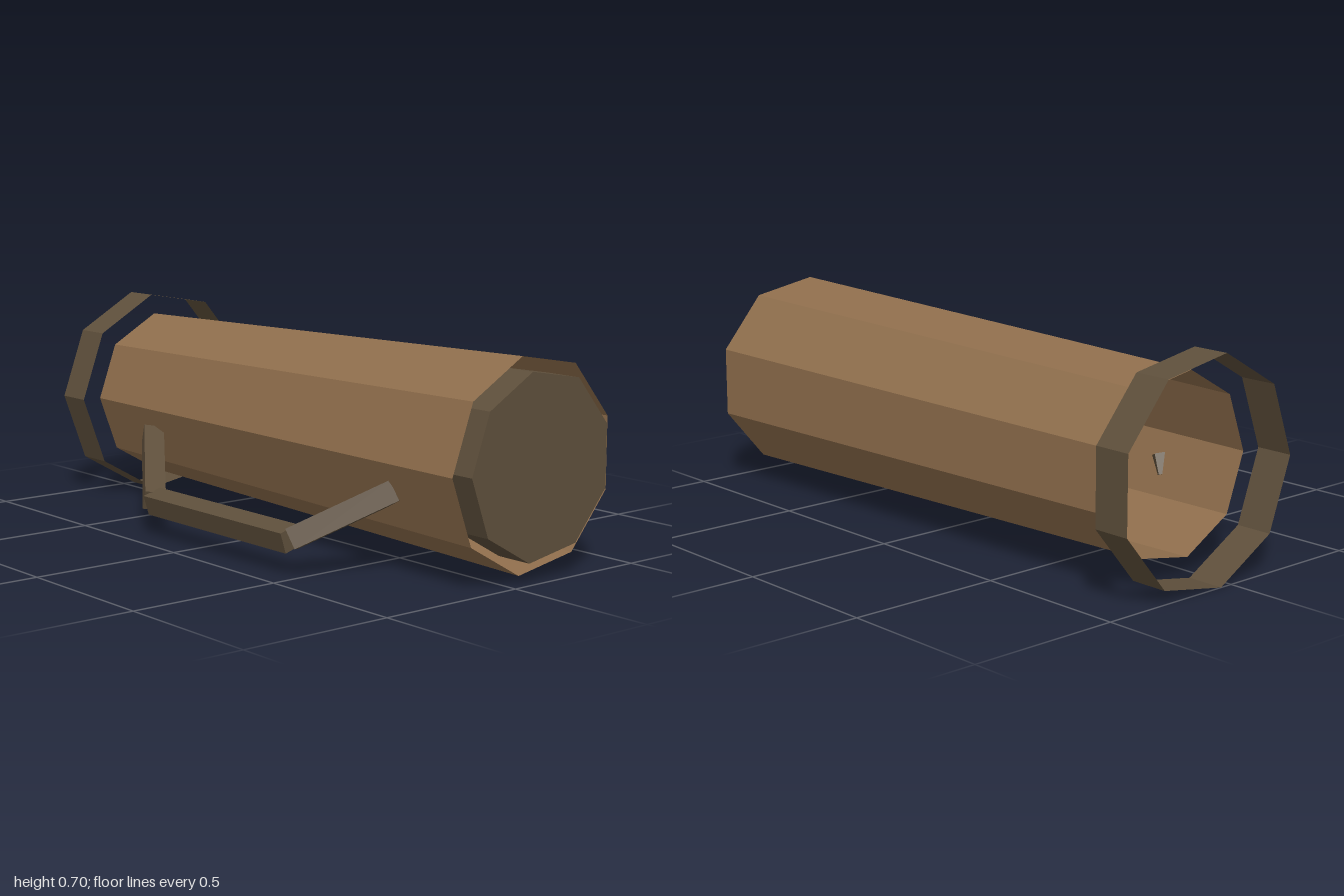
import * as THREE from 'three';

const CX = 0.105, CY = 0.35, SIDES = 9;

export function createModel() {
  const group = new THREE.Group();
  const wood = new THREE.MeshStandardMaterial({ color: 0x8f6e4c, flatShading: true, side: THREE.DoubleSide });
  wood.name = 'wood brown';
  const dark = new THREE.MeshStandardMaterial({ color: 0x5e4f3b, flatShading: true, side: THREE.DoubleSide });
  dark.name = 'dark brown';

  const add = (name, geometry, material) => {
    const mesh = new THREE.Mesh(geometry, material);
    mesh.name = name;
    group.add(mesh);
  };

  // Nine-sided drum lying along z, with one corner pointing to -x
  const drum = (rFront, rBack, zFront, zBack, open) =>
    new THREE.CylinderGeometry(rFront, rBack, zFront - zBack, SIDES, 1, open, -Math.PI / 2)
      .rotateX(Math.PI / 2)
      .translate(CX, CY, (zFront + zBack) / 2);

  // Tapered open mug wall, closed base plug and loose rim band
  add('mugBody', drum(0.33, 0.287, 0.965, -0.875, true), wood);
  add('mugBase', drum(0.287, 0.287, 1, 0.875, false), dark);
  add('rimBand', drum(0.355, 0.355, -0.875, -1, true), dark);

  // Handle: three square bars in one slanted plane, each twisted about its axis
  const normal = new THREE.Vector3(-0.545, 0.84, 0).normalize();
  const bar = (name, from, to, twist, size = 0.067) => {
    const a = new THREE.Vector3(...from), b = new THREE.Vector3(...to);
    const dir = b.clone().sub(a).normalize();
    const inward = normal.clone().cross(dir).normalize();
    const geometry = new THREE.BoxGeometry(size, size, a.distanceTo(b)).rotateZ(-twist);
    geometry.applyMatrix4(new THREE.Matrix4().makeBasis(inward, normal, dir)
      .setPosition(a.add(b).multiplyScalar(0.5)));
    add(name, geometry, dark);
  };
  const backRoot = [-0.165, 0.26, -0.58], backKnee = [-0.395, 0.11, -0.25];
  const frontKnee = [-0.395, 0.11, 0.455], frontRoot = [-0.165, 0.26, 0.66];
  bar('handleBack', backRoot, backKnee, 0.6);
  bar('handleGrip', backKnee, frontKnee, 0.28);
  bar('handleFront', frontKnee, frontRoot, 0.6);

  return group;
}
